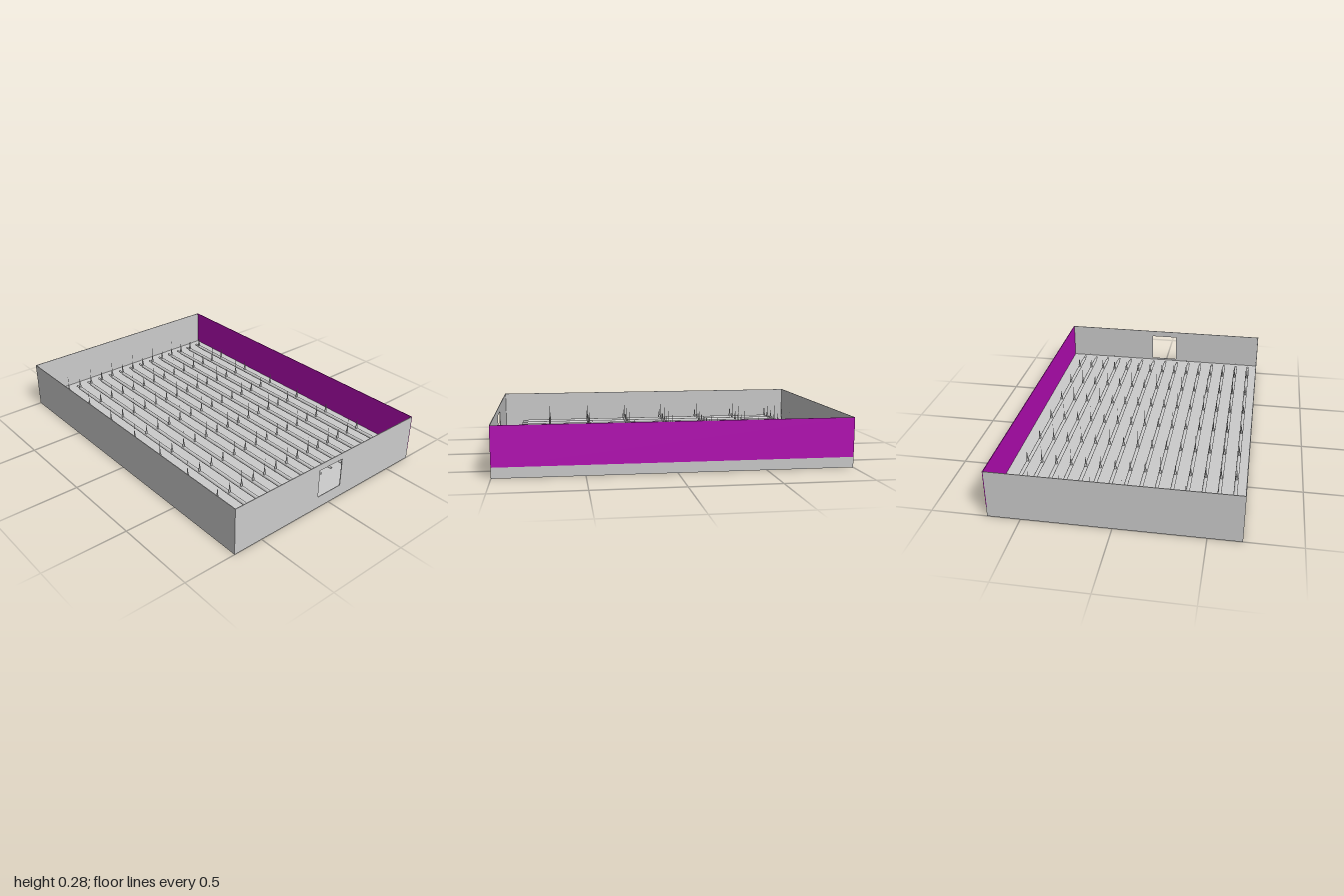
import * as THREE from 'three';

const W = 0.685, H = 0.285, FLOOR = 0.06, T = 0.004;

export function createModel() {
  const model = new THREE.Group();
  const grey = new THREE.MeshStandardMaterial({ color: 0xcccccc, side: THREE.DoubleSide });
  const purple = new THREE.MeshStandardMaterial({ color: 0xb40cb4, side: THREE.DoubleSide });

  const add = (parent, name, geometry, x, y, z, material = grey) => {
    const mesh = new THREE.Mesh(geometry, material);
    mesh.name = name;
    mesh.position.set(x, y, z);
    parent.add(mesh);
    return mesh;
  };

  // Base slab and plain walls
  const wallH = H - FLOOR, wallY = FLOOR + wallH / 2;
  add(model, 'baseSlab', new THREE.BoxGeometry(2 * W, FLOOR, 2), 0, FLOOR / 2, 0);
  add(model, 'backWall', new THREE.BoxGeometry(2 * W - 2 * T, wallH, T), 0, wallY, -1 + T / 2);
  add(model, 'rightWall', new THREE.BoxGeometry(T, wallH, 2), -W + T / 2, wallY, 0);
  add(model, 'leftColouredWall', new THREE.BoxGeometry(T, wallH, 2), W - T / 2, wallY, 0, purple);

  // Front wall with a square opening
  const rect = (Type, x0, y0, x1, y1) => {
    const path = new Type();
    path.moveTo(x0, y0);
    path.lineTo(x1, y0);
    path.lineTo(x1, y1);
    path.lineTo(x0, y1);
    path.closePath();
    return path;
  };
  const front = rect(THREE.Shape, -W + T, FLOOR, W - T, H);
  front.holes.push(rect(THREE.Path, -0.088, 0.072, 0.086, 0.246));
  add(model, 'frontWall', new THREE.ExtrudeGeometry(front, { depth: T, bevelEnabled: false }), 0, 0, 1 - T);

  // Parts shared by all pipe rows
  const along = (r, len) => new THREE.CylinderGeometry(r, r, len, 16).rotateX(Math.PI / 2);
  const pipe = along(0.0105, 1.69);
  const endCap = along(0.007, 0.04);
  const joint = along(0.0112, 0.008);
  const nozzle = new THREE.LatheGeometry([
    [0, 0.1], [0.007, 0.1], [0.007, 0.12], [0.005, 0.122], [0.001, 0.165], [0, 0.165],
  ].map(([x, y]) => new THREE.Vector2(x, y)), 10);
  const rod = new THREE.CylinderGeometry(0.001, 0.001, 0.048, 6);

  // Fifteen pipes with joints and upright nozzles; every second row carries taller rods
  for (let i = 0; i < 15; i++) {
    const row = new THREE.Group();
    row.name = 'pipeRow';
    row.position.x = -0.625 + i * 0.0857;
    add(row, 'pipe', pipe, 0, 0.097, -0.004);
    for (const s of [-1, 1]) add(row, 'pipeEnd', endCap, 0, 0.097, -0.004 + s * 0.865);
    for (let k = 0; k < 7; k++) {
      const z = -0.85 + k * 0.257;
      if (k % 2 === 0 && k > 0) add(row, 'pipeJoint', joint, 0, 0.097, z);
      add(row, 'nozzle', nozzle, 0, 0, z);
      if (i % 2 === 1) add(row, 'nozzleRod', rod, 0, 0.187, z);
    }
    model.add(row);
  }
  return model;
}
